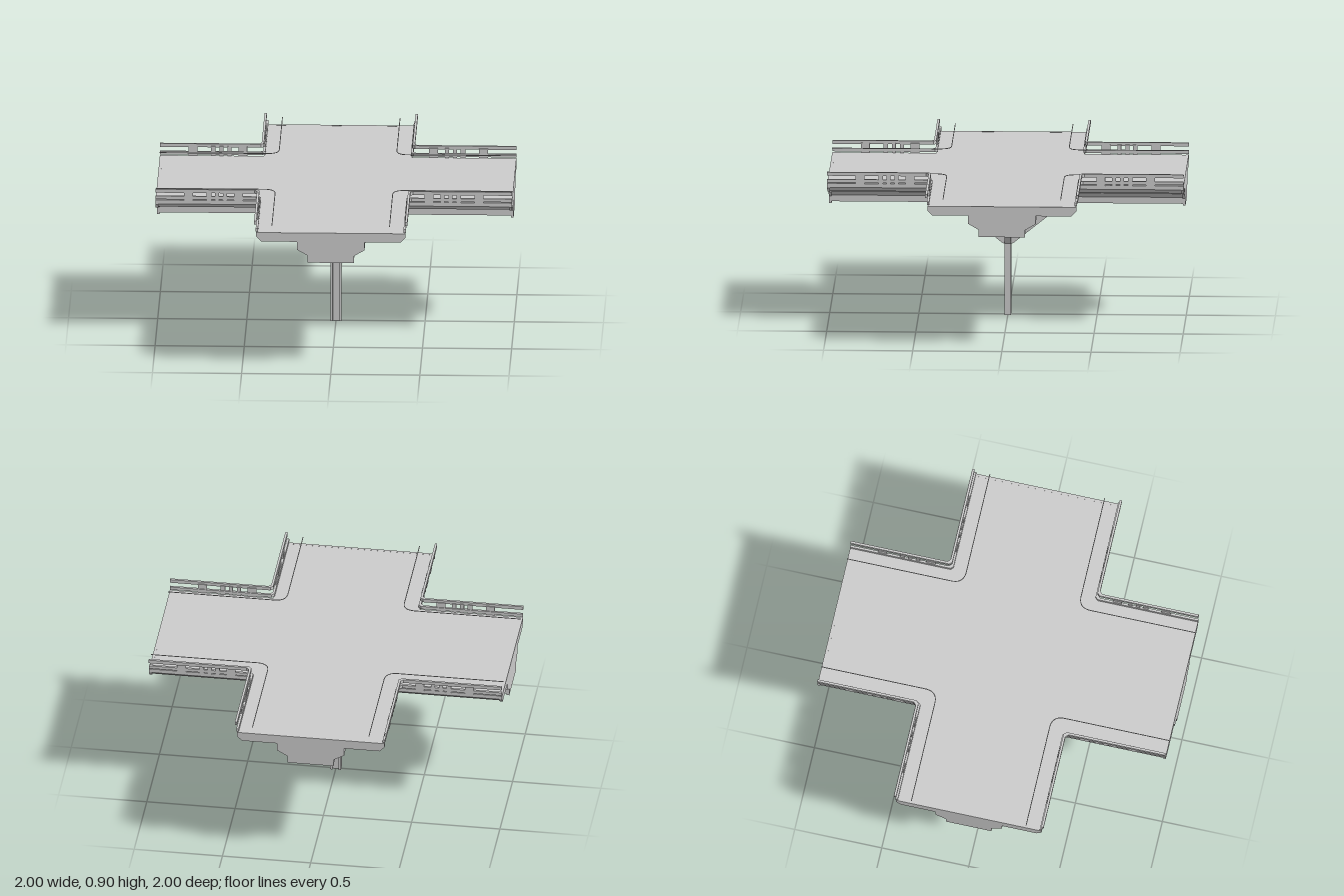
import * as THREE from 'three';

const grey = new THREE.MeshStandardMaterial({ color: 0xcccccc, flatShading: true, side: THREE.DoubleSide });

function add(parent, geometry, name, x = 0, y = 0, z = 0) {
  const mesh = new THREE.Mesh(geometry, grey);
  mesh.name = name;
  mesh.position.set(x, y, z);
  parent.add(mesh);
  return mesh;
}

const shapeOf = pts => new THREE.Shape(pts.map(p => new THREE.Vector2(p[0], p[1])));
const extrude = (pts, depth) => new THREE.ExtrudeGeometry(shapeOf(pts), { depth, bevelEnabled: false });
// Extrude a plan outline upwards (plan y becomes -z)
const slab = (pts, height) => extrude(pts, height).rotateX(-Math.PI / 2);
const mirrored = pts => [...pts, ...pts.slice().reverse().map(([x, y]) => [-x, y])];

// Plus-shaped outline with arm half-width w and arm length L
function crossRing(w, L) {
  const pts = [];
  for (let i = 0; i < 4; i++) {
    const c = [1, 0, -1, 0][i], s = [0, 1, 0, -1][i];
    for (const [x, y] of [[L, -w], [L, w], [w, w]]) pts.push([x * c - y * s, x * s + y * c]);
  }
  return pts;
}

// Stack plus-shaped rings from bottom to top and close both ends
function crossLoft(levels, L) {
  const pos = [];
  const rings = levels.map(([w, y]) => crossRing(w, L).map(p => [p[0], y, -p[1]]));
  const tri = (a, b, c) => {
    const [A, B, C] = [a, b, c].map(p => new THREE.Vector3(...p));
    if (B.sub(A).cross(C.sub(A)).length() > 1e-9) pos.push(...a, ...b, ...c);
  };
  for (let k = 0; k < rings.length - 1; k++) {
    for (let i = 0; i < 12; i++) {
      const j = (i + 1) % 12, lo = rings[k], up = rings[k + 1];
      tri(lo[i], lo[j], up[j]);
      tri(lo[i], up[j], up[i]);
    }
  }
  const first = rings[0], last = rings[rings.length - 1];
  for (const [ring, flip] of [[first, true], [last, false]]) {
    const flat = ring.map(p => new THREE.Vector2(p[0], -p[2]));
    for (const [a, b, c] of THREE.ShapeUtils.triangulateShape(flat, [])) {
      if (flip) tri(ring[a], ring[c], ring[b]);
      else tri(ring[a], ring[b], ring[c]);
    }
  }
  const g = new THREE.BufferGeometry();
  g.setAttribute('position', new THREE.Float32BufferAttribute(pos, 3));
  g.computeVertexNormals();
  return g;
}

// L-shaped strip around an inner corner, from offset a to offset b
function cornerStrip(a, b, height) {
  const r = 0.015;
  return slab([[1, a], [1, b], [b + r, b], [b, b + r], [b, 1], [a, 1], [a, a + r], [a + r, a]], height);
}

// Railing, and the thin inner handrail, around one corner
function cornerRailing() {
  const g = new THREE.Group();
  g.name = 'cornerRailing';
  add(g, cornerStrip(0.417, 0.43, 0.02), 'topRail', 0, 0.878, 0);
  add(g, cornerStrip(0.408, 0.421, 0.018), 'lowerRail', 0, 0.837, 0);
  const blocks = [[0.535, 0.05], [0.61, 0.022], [0.655, 0.022], [0.7, 0.026], [0.815, 0.05]];
  for (const [p, w] of blocks) {
    add(g, new THREE.BoxGeometry(w, 0.058, 0.01), 'railingPanel', p, 0.856, -0.417);
    add(g, new THREE.BoxGeometry(0.01, 0.058, w), 'railingPanel', 0.417, 0.856, -p);
  }
  const v = (x, z) => new THREE.Vector3(x, 0.872, z);
  const path = new THREE.CurvePath();
  path.add(new THREE.LineCurve3(v(1, -0.33), v(0.4, -0.33)));
  path.add(new THREE.QuadraticBezierCurve3(v(0.4, -0.33), v(0.33, -0.33), v(0.33, -0.4)));
  path.add(new THREE.LineCurve3(v(0.33, -0.4), v(0.33, -1)));
  add(g, new THREE.TubeGeometry(path, 80, 0.0025, 5), 'handrail');
  return g;
}

// Diagonal brace along +x with its plate under the deck
function brace(reach) {
  const g = new THREE.Group();
  g.name = 'brace';
  const side = [[0.015, 0.405], [0.03, 0.41], [reach, 0.67], [reach - 0.075, 0.67], [0.015, 0.455]];
  add(g, extrude(side, 0.034), 'diagonalStrut', 0, 0, -0.017);
  add(g, new THREE.BoxGeometry(0.24, 0.01, 0.08), 'bracePlate', reach - 0.11, 0.663, 0);
  return g;
}

export function createModel() {
  const model = new THREE.Group();
  model.name = 'elevatedCrossroads';

  // Deck with stepped girder below
  add(model, crossLoft([
    [0.13, 0.667], [0.13, 0.703], [0.19, 0.737], [0.19, 0.782],
    [0.385, 0.782], [0.415, 0.808], [0.415, 0.83],
  ], 0.995), 'deck');

  const endProfile = mirrored([
    [0.13, 0.656], [0.13, 0.697], [0.19, 0.732], [0.19, 0.778], [0.39, 0.778], [0.418, 0.806], [0.418, 0.8305],
  ]);

  // Four arms: end plate, corner railing and brace
  for (let i = 0; i < 4; i++) {
    const arm = new THREE.Group();
    arm.name = 'arm';
    arm.rotation.y = i * Math.PI / 2;
    add(arm, extrude(endProfile, 0.015), 'endPlate', 0, 0, 0.985);
    arm.add(cornerRailing(), brace(i % 2 ? 0.355 : 0.385));
    model.add(arm);
  }

  // H-section post
  const post = mirrored([[0.008, -0.006], [0.018, -0.006], [0.018, -0.018], [0.03, -0.018],
    [0.03, 0.018], [0.018, 0.018], [0.018, 0.006], [0.008, 0.006]]);
  add(model, slab(post, 0.667), 'post');

  // Flared head of the post
  const head = new THREE.CylinderGeometry(0.068, 0.05, 0.05, 4).rotateY(Math.PI / 4);
  add(model, head, 'postHead', 0, 0.64, 0);
  return model;
}
